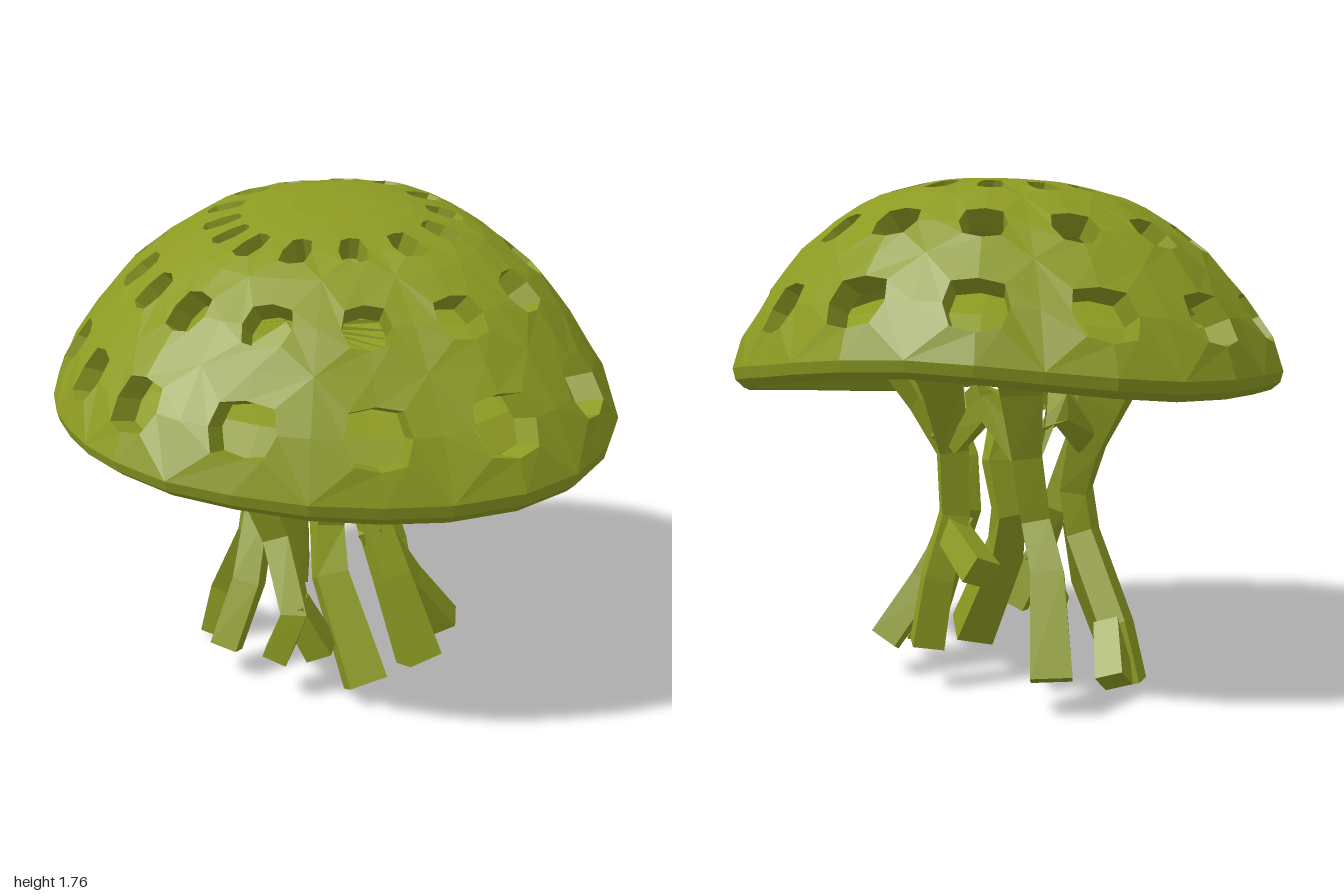
import * as THREE from 'three';

const mat = new THREE.MeshStandardMaterial({ color: 0x8c9a22, flatShading: true, side: THREE.DoubleSide });
const V = (x, y, z) => new THREE.Vector3(x, y, z);

// Collects polygons into one flat-shaded mesh
class Builder {
  pos = [];
  tri(...p) { p.forEach(q => this.pos.push(q.x, q.y, q.z)); }
  quad(a, b, c, d) { this.tri(a, b, c); this.tri(a, c, d); }
  band(A, B) { // strip between two closed loops
    A.forEach((a, i) => {
      const j = (i + 1) % A.length;
      this.quad(a, A[j], B[j], B[i]);
    });
  }
  mesh(name) {
    const g = new THREE.BufferGeometry();
    g.setAttribute('position', new THREE.Float32BufferAttribute(this.pos, 3));
    g.computeVertexNormals();
    const m = new THREE.Mesh(g, mat);
    m.name = name;
    return m;
  }
}

// Uneven rim of the cap: x, z, height of the underside
const rim = [
  [0.03, -0.95, 1.15], [0.22, -0.93, 1.14], [0.4, -0.84, 1.12], [0.58, -0.7, 1.09], [0.75, -0.5, 1.06],
  [0.9, -0.3, 1.03], [0.99, -0.06, 0.99], [0.985, 0.18, 0.965], [0.92, 0.38, 0.945], [0.8, 0.53, 0.93],
  [0.6, 0.67, 0.92], [0.4, 0.78, 0.93], [-0.05, 0.93, 0.98], [-0.27, 0.95, 1.01], [-0.47, 0.88, 1.03],
  [-0.7, 0.68, 1.03], [-0.88, 0.42, 1.035], [-0.95, 0.25, 1.04], [-1, 0, 1.05], [-0.97, -0.25, 1.06],
  [-0.92, -0.48, 1.07], [-0.78, -0.68, 1.08], [-0.6, -0.8, 1.1], [-0.4, -0.87, 1.12], [-0.2, -0.94, 1.14],
].map(([x, z, y]) => ({ a: (Math.atan2(x, -z) * 180 / Math.PI + 360) % 360, r: Math.hypot(x, z), y: y + 0.07 }))
  .sort((p, q) => p.a - q.a);

function rimAt(deg) {
  const a = ((deg % 360) + 360) % 360;
  let i = rim.findIndex(p => p.a > a);
  if (i < 0) i = 0;
  const q = rim[i], p = rim[(i + rim.length - 1) % rim.length];
  const t = ((a - p.a + 360) % 360) / ((q.a - p.a + 360) % 360);
  return { r: p.r + (q.r - p.r) * t, y: p.y + (q.y - p.y) * t };
}

// Radius and height fractions from crown to rim, then under the lip and up the lining
const profile = [
  [0, 1], [0.15, 0.995], [0.27, 0.975], [0.33, 0.955], [0.45, 0.905], [0.52, 0.855], [0.62, 0.76], [0.73, 0.63],
  [0.79, 0.525], [0.86, 0.395], [0.96, 0.175], [1, 0],
  [0.99, -0.06], [0.96, -0.1], [0.92, -0.09], [0.88, 0], [0.83, 0.11], [0.74, 0.22], [0.55, 0.31], [0.3, 0.36], [0, 0.37],
];

function capPoint(deg, v) {
  const i = Math.min(Math.floor(v), profile.length - 2), t = v - i;
  const r = profile[i][0] + (profile[i + 1][0] - profile[i][0]) * t;
  const h = profile[i][1] + (profile[i + 1][1] - profile[i][1]) * t;
  const e = rimAt(deg), a = deg * Math.PI / 180;
  const x = Math.sin(a) * e.r * r, z = -Math.cos(a) * e.r * r;
  return V(x, e.y + (1.755 - e.y) * h - 0.09 * z * h, z);
}

// Directions of the columns of openings around the cap
const columns = [13.5, 43, 73, 99, 124, 153, 183, 207, 227, 246, 270, 297, 321.5, 347];
const octagon = [[-1, -1], [0, -1], [1, -1], [1, 0], [1, 1], [0, 1], [-1, 1], [-1, 0]];

function makeCap() {
  const b = new Builder();
  const core = V(0, 0.95, 0);
  const inward = p => p.clone().lerp(core, 0.1);
  const n = columns.length;
  const angles = [];
  columns.forEach((c, i) => {
    const prev = i ? columns[i - 1] : columns[n - 1] - 360;
    const next = i < n - 1 ? columns[i + 1] : columns[0] + 360;
    const lo = (prev + c) / 2, hi = (c + next) / 2;
    angles.push(lo, c);
    // angle at a position u in -1..1 across the column
    const at = u => (u < 0 ? c + u * (c - lo) : c + u * (hi - c));
    // three openings per column (crown, middle and rim rows) through a thick shell
    [2, 5, 8].forEach((v0, row) => {
      const outer = octagon.map(([u, v]) => capPoint(at(u), v0 + 1.5 + 1.5 * v));
      const hole = octagon.map(([u, v]) => {
        const k = u && v ? 0.78 : 1;
        const taper = row === 0 ? 1 : 1 - 0.08 * v;
        return capPoint(at(u * 0.53 * k * taper), v0 + 1.5 + 0.62 * v * k);
      });
      const inner = hole.map(inward);
      b.band(outer, hole);
      b.band(hole, inner);
      b.band(inner, outer.map(inward));
    });
  });
  // plain bands: crown, lip and lining
  [0, 1, 11, 12, 13, 14, 15, 16, 17, 18, 19].forEach(v =>
    b.band(angles.map(a => capPoint(a, v)), angles.map(a => capPoint(a, v + 1))));
  return b.mesh('cap');
}

// Square beam bent along a path; width eases from foot to waist to top
function beam(name, path, foot, waist, top, twist = 0) {
  const b = new Builder();
  const pts = path.map(p => V(...p));
  const last = pts.length - 1;
  const loops = pts.map((p, i) => {
    const t = pts[Math.min(i + 1, last)].clone().sub(pts[Math.max(i - 1, 0)]).normalize();
    const ref = Math.abs(t.z) > 0.85 ? V(0, 1, 0) : V(0, 0, 1);
    const s = t.clone().cross(ref).normalize(), n = t.clone().cross(s);
    const f = i / last * 2 - 1;
    const w = (waist + ((f < 0 ? foot : top) - waist) * f * f) * Math.SQRT1_2;
    return [0, 1, 2, 3].map(k => {
      const a = (k + 0.5) * Math.PI / 2 + twist;
      return p.clone().addScaledVector(s, Math.cos(a) * w).addScaledVector(n, Math.sin(a) * w);
    });
  });
  for (let i = 0; i < last; i++) b.band(loops[i], loops[i + 1]);
  b.quad(...[...loops[0]].reverse());
  b.quad(...loops[last]);
  return b.mesh(name);
}

export function createModel() {
  const model = new THREE.Group();
  model.add(makeCap());

  // Crooked roots: foot first, narrowing at the neck, flaring into the lining
  const roots = new THREE.Group();
  roots.name = 'roots';
  const paths = [
    [[-0.5, 0.02, -0.09], [-0.45, 0.22, -0.08], [-0.3, 0.52, 0.02], [-0.28, 0.68, 0], [-0.33, 0.84, -0.05], [-0.41, 1.02, -0.1], [-0.52, 1.3, -0.15]],
    [[-0.12, 0.17, 0.32], [-0.05, 0.34, 0.3], [-0.15, 0.58, 0.19], [-0.22, 0.8, 0.24], [-0.33, 1.02, 0.33], [-0.44, 1.28, 0.4]],
    [[-0.33, 0.12, -0.48], [-0.28, 0.45, -0.36], [-0.22, 0.62, -0.3], [-0.2, 0.85, -0.34], [-0.2, 1.08, -0.4], [-0.22, 1.3, -0.46]],
    [[0.17, 0.16, -0.31], [0.13, 0.4, -0.31], [0.08, 0.62, -0.27], [0.08, 0.85, -0.29], [0.1, 1.08, -0.36], [0.15, 1.3, -0.42]],
    [[0.19, 0.07, 0.24], [0.02, 0.42, 0.12], [-0.02, 0.58, 0.03], [0.02, 0.76, 0.03], [0.0, 0.92, 0.1], [-0.06, 1.08, 0.2], [-0.1, 1.3, 0.38]],
    [[0.34, 0.1, 0.06], [0.22, 0.4, 0.02], [0.13, 0.6, -0.03], [0.15, 0.76, 0.0], [0.28, 0.98, 0.05], [0.46, 1.26, 0.1]],
  ];
  const feet = [0.1, 0.09, 0.14, 0.11, 0.14, 0.13];
  paths.forEach((p, i) => roots.add(beam('root', p, feet[i], 0.095, 0.22, i * 0.15)));
  model.add(roots);

  // Side branches forking off the roots
  const branches = new THREE.Group();
  branches.name = 'sideBranches';
  [
    [[-0.48, 0.06, -0.23], [-0.43, 0.22, -0.09]],
    [[0.03, 0.18, 0.25], [-0.06, 0.37, 0.29]],
    [[-0.35, 0.12, 0.21], [-0.29, 0.35, 0.12], [-0.28, 0.58, 0.02]],
    [[0.37, 0.13, -0.2], [0.25, 0.33, -0.1], [0.13, 0.57, -0.02]],
    [[-0.08, 0.46, -0.46], [0.08, 0.56, -0.29]],
  ].forEach(p => branches.add(beam('sideBranch', p, 0.1, 0.1, 0.09)));
  model.add(branches);

  // Arched struts tying neighbouring roots together above the neck
  const struts = new THREE.Group();
  struts.name = 'neckStruts';
  const neck = [[-0.34, 0.88, -0.07], [-0.26, 0.87, 0.27], [0, 0.92, 0.1], [0.2, 0.86, 0.03], [0.08, 0.88, -0.3], [-0.2, 0.86, -0.34]];
  neck.forEach((p, i) => {
    const q = neck[(i + 1) % neck.length];
    struts.add(beam('neckStrut', [p, [(p[0] + q[0]) / 2, 1.0, (p[2] + q[2]) / 2], q], 0.1, 0.09, 0.1));
  });
  model.add(struts);
  return model;
}
